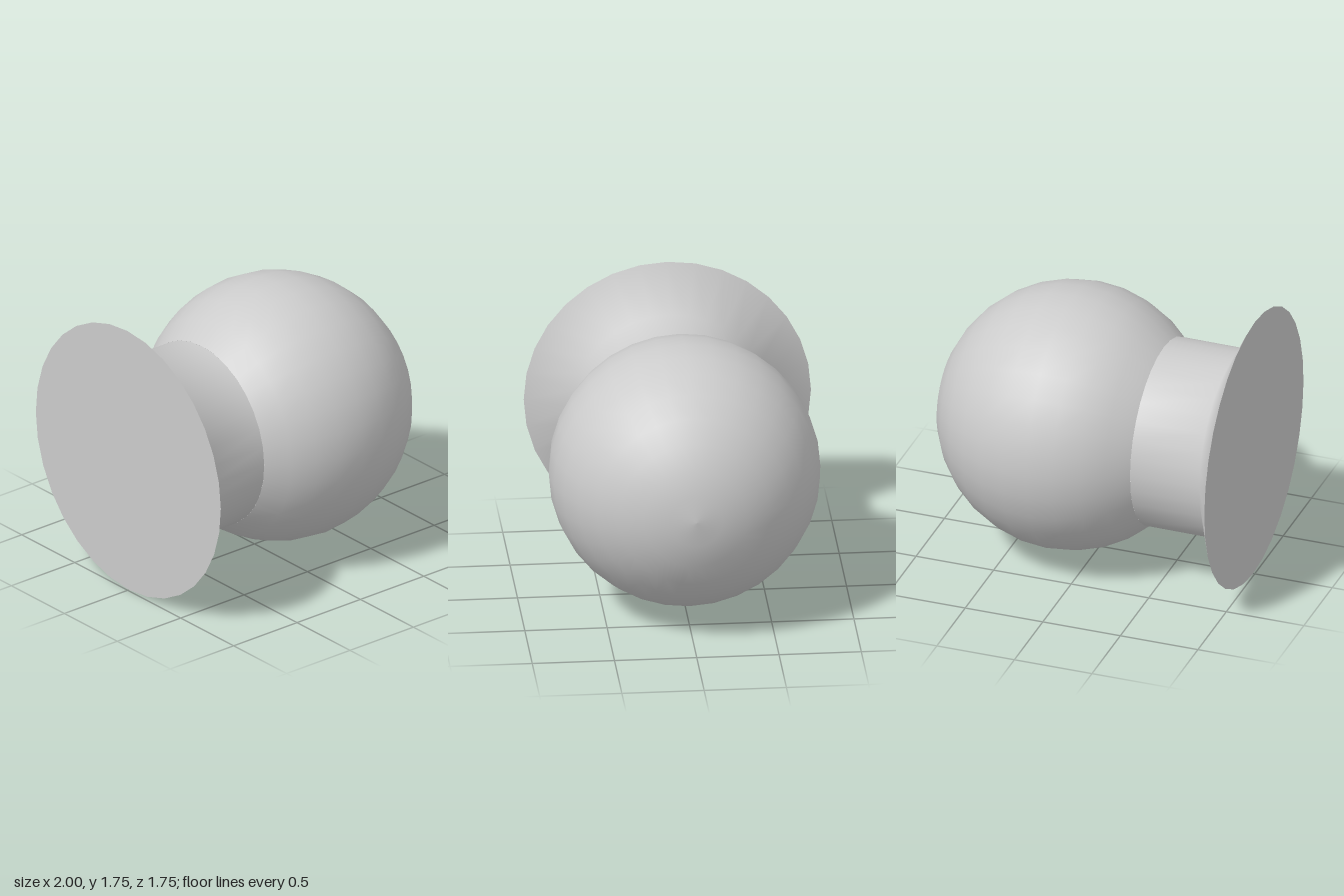
import * as THREE from 'three';

const SIDES = 32;
const RIM = 0.873, NECK = 0.583, BALL = 0.825;
const FLARE_END = 0.14, NECK_END = 0.585;

export function createModel() {
  const group = new THREE.Group();
  const knob = new THREE.Group();
  knob.name = 'knob';
  const material = new THREE.MeshStandardMaterial({ color: 0xcccccc, side: THREE.DoubleSide });

  const add = (name, geometry) => {
    const mesh = new THREE.Mesh(geometry, material);
    mesh.name = name;
    knob.add(mesh);
  };
  const lathe = (points) =>
    new THREE.LatheGeometry(points.map(([r, y]) => new THREE.Vector2(r, y)), SIDES);

  // flat mounting face closing the flared base
  add('baseFace', new THREE.CircleGeometry(RIM, SIDES).rotateX(Math.PI / 2));

  // flared base running smoothly into the straight neck
  add('flaredNeck', lathe([[RIM, 0], [NECK, FLARE_END], [NECK, NECK_END]]));

  // ball, cut at 45 degrees where it meets the neck
  const centre = NECK_END + BALL * Math.SQRT1_2;
  const profile = [];
  for (let i = 4; i <= 16; i++) {
    const a = (i / 16) * Math.PI;
    profile.push([BALL * Math.sin(a), centre - BALL * Math.cos(a)]);
  }
  add('ball', lathe(profile));

  // lay the axis along x with a very slight upward tilt
  knob.rotation.z = -Math.PI / 2 + 0.0065;
  knob.position.set(-0.995, 0.873, 0);
  group.add(knob);
  return group;
}
